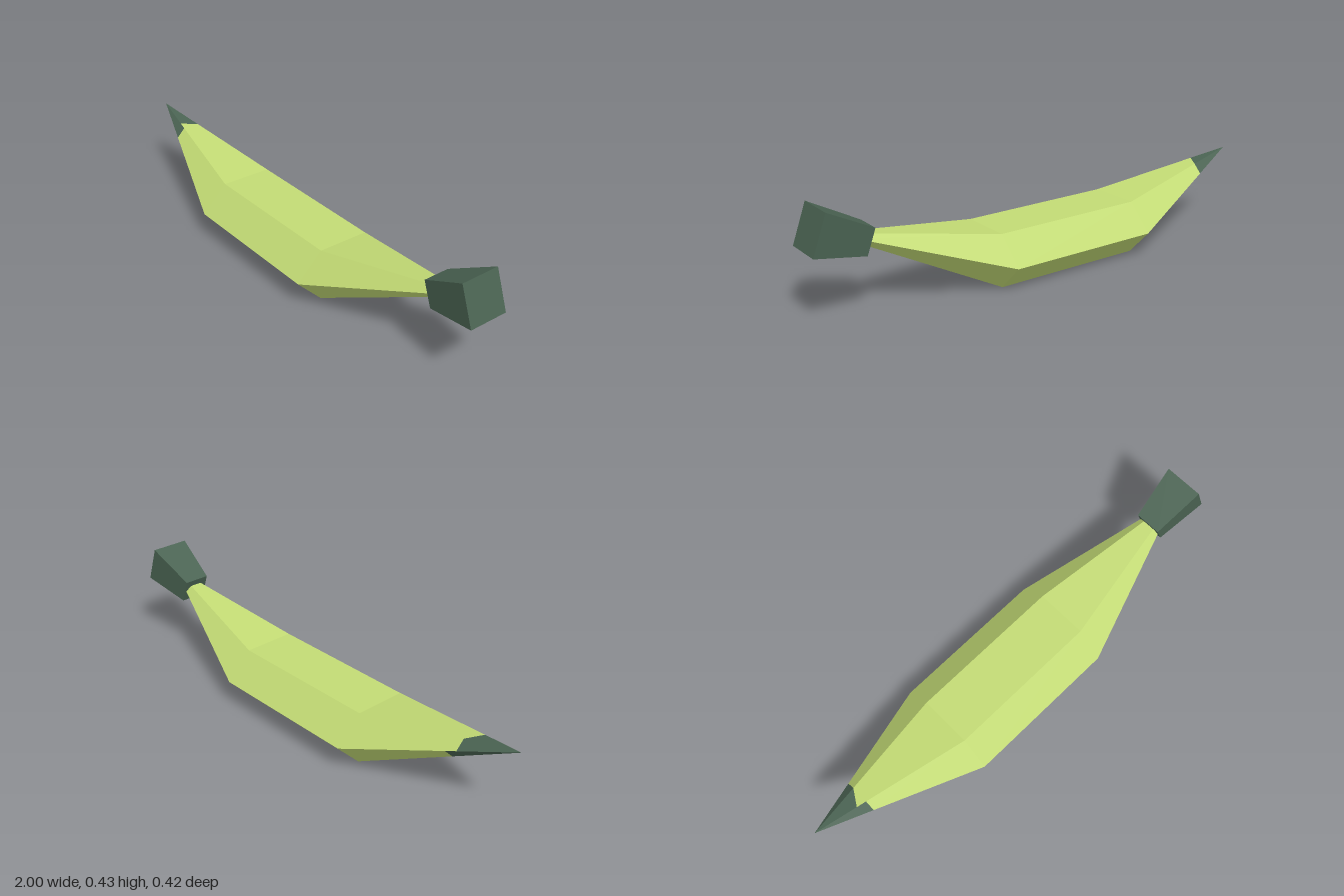
import * as THREE from 'three';

// Hexagonal cross-section at x, centred on height y, scaled by s
const HEX = [[0, 2], [1, 1], [1, -1], [0, -2], [-1, -1], [-1, 1]];
const ring = (x, y, s) =>
  HEX.map(([h, d]) => new THREE.Vector3(x, y + h * 0.106 * s, d * 0.106 * s));

// Geometry from a list of quads, with separate corners for flat facets
function fromQuads(quads) {
  const pts = [];
  for (const [a, b, c, d] of quads) pts.push(a, b, c, a, c, d);
  const geo = new THREE.BufferGeometry().setFromPoints(pts);
  geo.computeVertexNormals();
  return geo;
}

export function createModel() {
  const peel = new THREE.MeshStandardMaterial({ color: 0xc2da74, flatShading: true });
  peel.name = 'yellow green peel';
  const dark = new THREE.MeshStandardMaterial({ color: 0x4a6352, flatShading: true });
  dark.name = 'dark green';

  const group = new THREE.Group();
  group.name = 'banana';
  const add = (name, geo, mat) => {
    const mesh = new THREE.Mesh(geo, mat);
    mesh.name = name;
    group.add(mesh);
    return mesh;
  };

  const apex = new THREE.Vector3(-1, 0.316, 0);
  const rings = [ring(-0.365, 0.106, 1), ring(0.27, 0.106, 1), ring(0.82, 0.293, 0.15)];

  // Where each facet of the pointed end turns dark, at its two edges
  const split = [[0.33, 0.33], [0.27, 0.33], [0.33, 0.33], [0.39, 0.39], [0.39, 0.39], [0.39, 0.39]];

  const bodyQuads = [], tipQuads = [];
  for (let k = 0; k < 6; k++) {
    const n = (k + 1) % 6;
    const p = apex.clone().lerp(rings[0][k], split[k][0]);
    const q = apex.clone().lerp(rings[0][n], split[k][1]);
    tipQuads.push([apex, p, q, apex]);
    bodyQuads.push([p, rings[0][k], rings[0][n], q]);
    for (let i = 0; i < 2; i++) {
      bodyQuads.push([rings[i][k], rings[i + 1][k], rings[i + 1][n], rings[i][n]]);
    }
  }
  add('body', fromQuads(bodyQuads), peel);
  add('tip', fromQuads(tipQuads), dark);

  // Stem: a box flaring towards its outer end
  const stemGeo = new THREE.BoxGeometry(0.213, 0.16, 0.16);
  const pos = stemGeo.attributes.position;
  for (let i = 0; i < pos.count; i++) {
    if (pos.getX(i) < 0) {
      pos.setY(i, pos.getY(i) * 0.64);
      pos.setZ(i, pos.getZ(i) * 0.67);
    }
  }
  stemGeo.computeVertexNormals();
  const stem = add('stem', stemGeo, dark);
  stem.position.set(0.873, 0.314, 0);
  stem.rotation.z = 0.35;

  return group;
}
